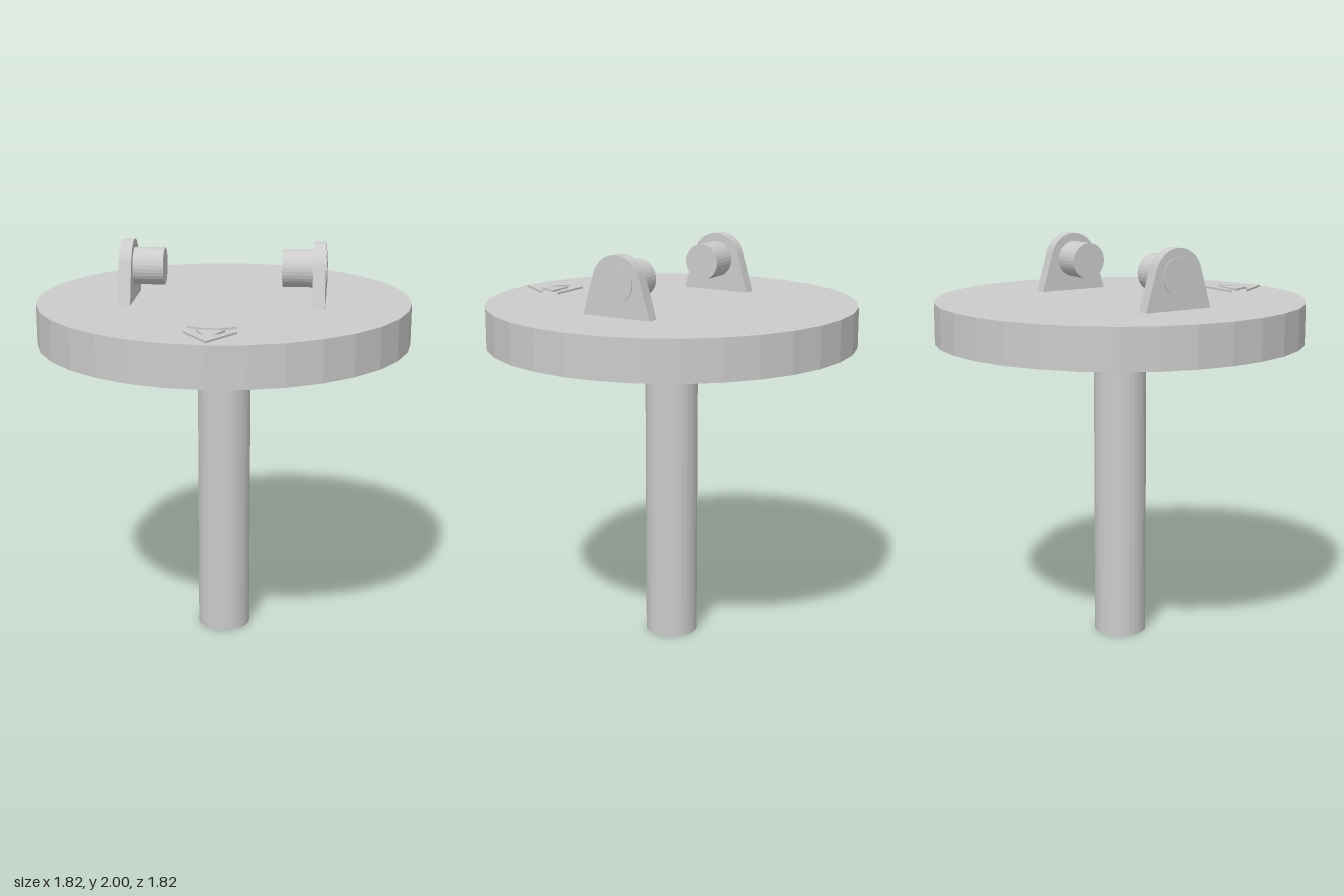
import * as THREE from 'three';

const material = new THREE.MeshStandardMaterial({ color: 0xcccccc, flatShading: true });

function part(name, geometry, parent, x = 0, y = 0, z = 0) {
  const mesh = new THREE.Mesh(geometry, material);
  mesh.name = name;
  mesh.position.set(x, y, z);
  parent.add(mesh);
  return mesh;
}

// Flat raised mark drawn as [x, z] points on the disc top
function mark(points) {
  const shape = new THREE.Shape(points.map(([x, z]) => new THREE.Vector2(x, -z)));
  return new THREE.ExtrudeGeometry(shape, { depth: 0.01, bevelEnabled: false }).rotateX(-Math.PI / 2);
}

// Lug plate: wide foot, sides tangent to a rounded top
function lugGeometry(thickness) {
  const a = 0.274;
  const shape = new THREE.Shape();
  shape.moveTo(-0.183, 0);
  shape.lineTo(0.183, 0);
  shape.absarc(0, 0.16, 0.13, a, Math.PI - a, false);
  shape.closePath();
  return new THREE.ExtrudeGeometry(shape, { depth: thickness, bevelEnabled: false, curveSegments: 14 })
    .translate(0, 0, -thickness / 2)
    .rotateY(Math.PI / 2);
}

export function createModel() {
  const model = new THREE.Group();
  model.name = 'discOnPost';
  const top = 1.71;

  part('post', new THREE.CylinderGeometry(0.13, 0.13, 1.51, 32), model, 0, 0.755, 0);
  part('disc', new THREE.CylinderGeometry(0.912, 0.912, 0.2, 32), model, 0, top - 0.1, 0);

  // Mirrored lugs, each with an inward-facing pin
  for (const side of [1, -1]) {
    const bracket = new THREE.Group();
    bracket.name = side > 0 ? 'leftBracket' : 'rightBracket';
    part('lug', lugGeometry(0.06), bracket, side * 0.465, top, 0);
    part('pin', new THREE.CylinderGeometry(0.09, 0.09, 0.213, 32).rotateZ(Math.PI / 2),
      bracket, side * 0.3935, top + 0.16, 0);
    model.add(bracket);
  }

  // Direction arrow near the front edge
  part('arrowHead', mark([
    [0, 0.878], [0.122, 0.697], [0.022, 0.765], [0.065, 0.668],
    [-0.065, 0.668], [-0.022, 0.765], [-0.122, 0.697],
  ]), model, 0, top, 0);
  part('arrowBar', mark([
    [-0.035, 0.64], [0.035, 0.64], [0.113, 0.605], [-0.113, 0.605],
  ]), model, 0, top, 0);

  return model;
}
